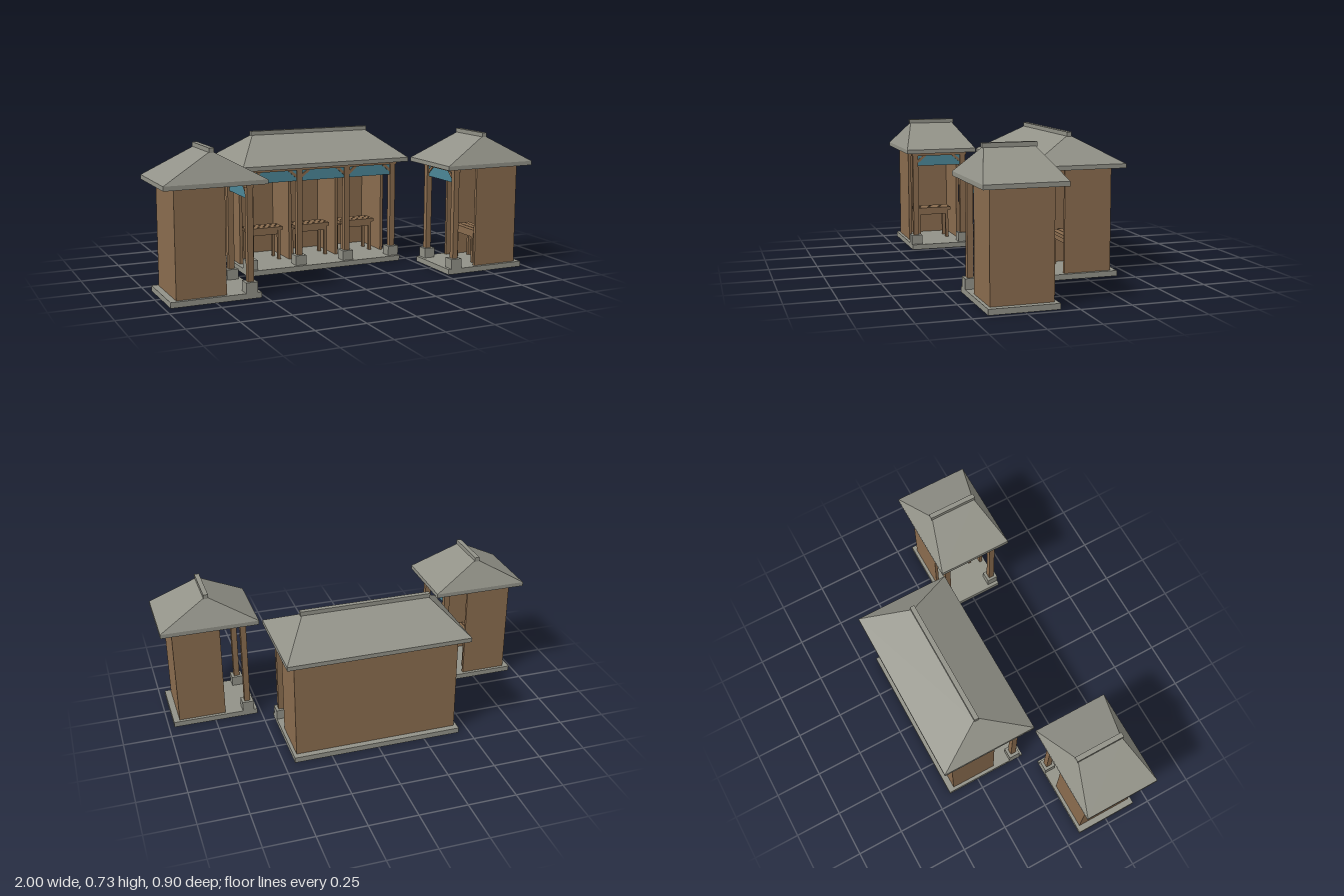
import * as THREE from 'three';

const wood = new THREE.MeshStandardMaterial({ color: 0x8a6c4e });
wood.name = 'wood';
const stone = new THREE.MeshStandardMaterial({ color: 0x929288 });
stone.name = 'stone';
const cloth = new THREE.MeshStandardMaterial({ color: 0x4c8798 });
cloth.name = 'blueCloth';

const BASE_TOP = 0.028, EAVE = 0.555, BAY = 0.2765;
const DEPTH = 0.45, BACK = -0.193, FRONT = 0.055, POST_Z = 0.177;

// Box given by its limits on each axis
function box(parent, name, mat, [x0, x1], [y0, y1], [z0, z1]) {
  const m = new THREE.Mesh(new THREE.BoxGeometry(x1 - x0, y1 - y0, z1 - z0), mat);
  m.position.set((x0 + x1) / 2, (y0 + y1) / 2, (z0 + z1) / 2);
  m.name = name;
  parent.add(m);
  return m;
}

// Hipped roof: eave slab, sloping body and ridge cap
function makeRoof(length, ridge) {
  const g = new THREE.Group();
  g.name = 'roof';
  const w = length / 2, d = 0.2535, r = ridge / 2;
  box(g, 'eaveSlab', stone, [-w, w], [EAVE, 0.577], [-d, d]);
  const geo = new THREE.BoxGeometry(length, 0.133, d * 2);
  const p = geo.attributes.position;
  for (let i = 0; i < p.count; i++) {
    if (p.getY(i) > 0) {
      p.setX(i, Math.sign(p.getX(i)) * (r - 0.006));
      p.setZ(i, Math.sign(p.getZ(i)) * 0.012);
    }
  }
  geo.computeVertexNormals();
  const body = new THREE.Mesh(geo, stone);
  body.position.y = 0.577 + 0.0665;
  body.name = 'hippedRoof';
  g.add(body);
  box(g, 'ridgeCap', stone, [-r, r], [0.708, 0.731], [-0.0125, 0.0125]);
  return g;
}

// Slatted counter table
function makeTable() {
  const g = new THREE.Group();
  g.name = 'table';
  const z0 = -0.07, z1 = 0.035, slat = (z1 - z0) / 3;
  for (let i = 0; i < 3; i++) {
    const z = z0 + i * slat;
    box(g, 'tableSlat', wood, [-0.105, 0.105], [0.19, 0.208], [z + 0.002, z + slat - 0.002]);
  }
  for (const z of [z0 + 0.006, z1 - 0.018]) {
    box(g, 'tableApron', wood, [-0.09, 0.09], [0.167, 0.19], [z, z + 0.012]);
    for (const s of [-1, 1]) {
      const x = s * 0.084;
      box(g, 'tableLeg', wood, [x - 0.008, x + 0.008], [BASE_TOP, 0.19], [z - 0.002, z + 0.014]);
    }
  }
  return g;
}

// Open-fronted stall facing +z with a number of equal bays
function makeStall(name, bays, ridge) {
  const g = new THREE.Group();
  g.name = name;
  const span = bays * BAY, half = span / 2 + 0.03, wall = half - 0.017;
  box(g, 'plinth', stone, [-half, half], [0, BASE_TOP], [-DEPTH / 2, DEPTH / 2]);
  g.add(makeRoof(half * 2 + 0.06, ridge));

  // Back wall and end walls
  const wy = [BASE_TOP, EAVE];
  box(g, 'backWall', wood, [-wall, wall], wy, [BACK, BACK + 0.016]);
  for (const s of [-1, 1]) {
    const x = s * (wall - 0.008);
    box(g, 'endWall', wood, [x - 0.008, x + 0.008], wy, [BACK + 0.016, FRONT]);
  }

  // Posts on stone footings, with partitions behind the inner ones
  for (let i = 0; i <= bays; i++) {
    const x = -span / 2 + i * BAY;
    box(g, 'footing', stone, [x - 0.03, x + 0.03], [BASE_TOP, 0.08], [POST_Z - 0.03, POST_Z + 0.03]);
    box(g, 'post', wood, [x - 0.015, x + 0.015], [0.08, 0.537], [POST_Z - 0.015, POST_Z + 0.015]);
    if (i > 0 && i < bays) {
      box(g, 'partition', wood, [x - 0.008, x + 0.008], wy, [BACK + 0.016, FRONT]);
    }
  }
  const beam = span / 2 + 0.02;
  box(g, 'lintel', wood, [-beam, beam], [0.536, EAVE], [POST_Z - 0.018, POST_Z + 0.018]);

  // Valance, corner braces and table in each bay
  for (let i = 0; i < bays; i++) {
    const cx = -span / 2 + (i + 0.5) * BAY, inner = BAY / 2 - 0.015;
    box(g, 'valance', cloth, [cx - inner, cx + inner], [0.478, 0.537], [POST_Z - 0.004, POST_Z + 0.004]);
    for (const s of [-1, 1]) {
      const brace = new THREE.Mesh(new THREE.BoxGeometry(0.055, 0.014, 0.018), wood);
      brace.position.set(cx + s * (inner - 0.02), 0.519, POST_Z);
      brace.rotation.z = -s * 0.7;
      brace.name = 'cornerBrace';
      g.add(brace);
    }
    const table = makeTable();
    table.position.x = cx;
    g.add(table);
  }
  return g;
}

export function createModel() {
  const model = new THREE.Group();
  model.name = 'marketStalls';
  const main = makeStall('mainStall', 3, 0.68);
  main.position.z = -0.197;
  model.add(main);
  // Two small stalls face each other across the front
  for (const s of [-1, 1]) {
    const side = makeStall(s > 0 ? 'leftStall' : 'rightStall', 1, 0.26);
    side.position.set(s * 0.7465, 0, 0.2525);
    side.rotation.y = -s * Math.PI / 2;
    model.add(side);
  }
  return model;
}
